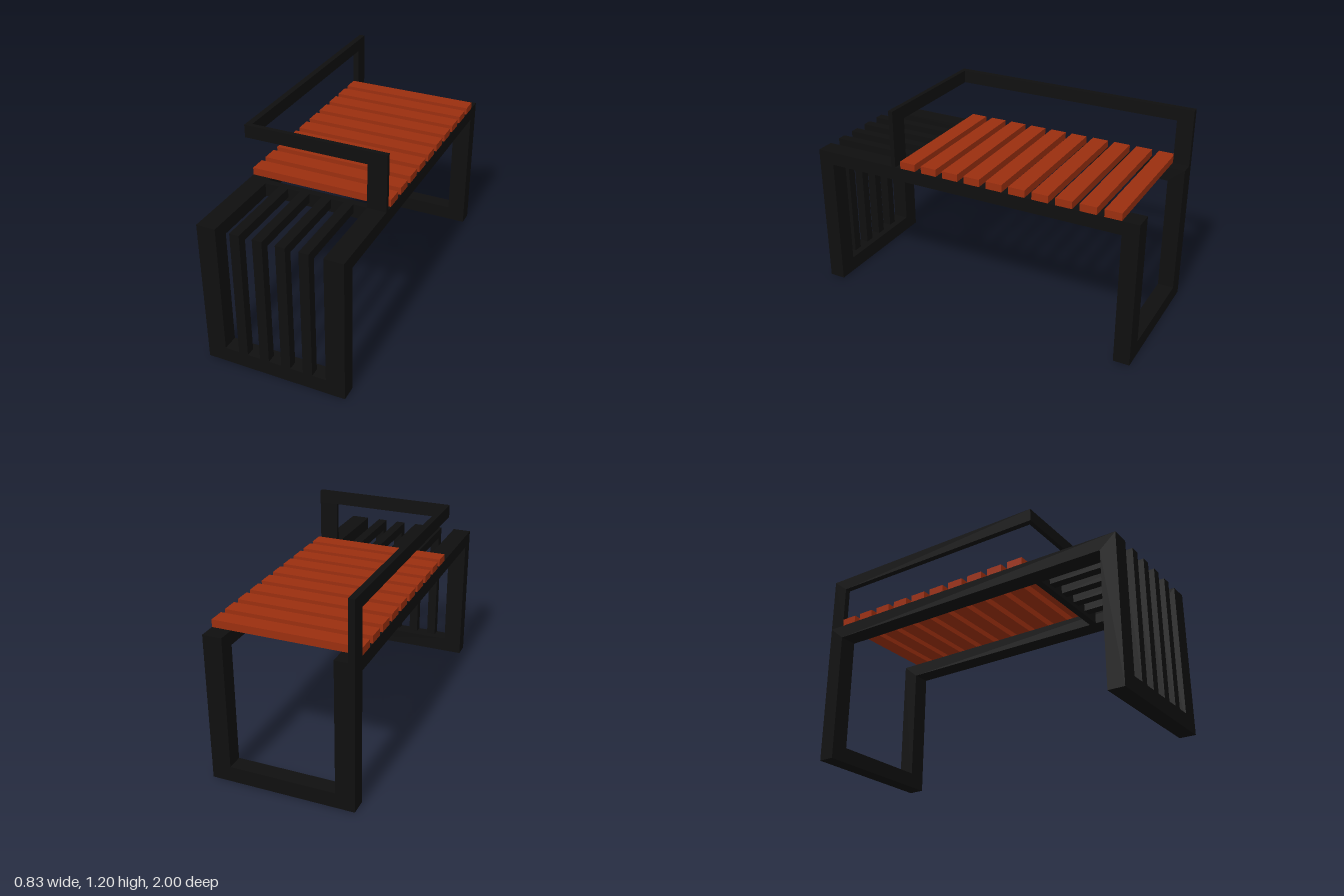
import * as THREE from 'three';

export function createModel() {
  const model = new THREE.Group();
  model.name = 'bench';
  const blackSteel = new THREE.MeshStandardMaterial({ color: 0x0f0f0f });
  blackSteel.name = 'black steel';
  const redWood = new THREE.MeshStandardMaterial({ color: 0x9a2e0f });
  redWood.name = 'red brown wood';

  const W = 0.415, SEAT = 0.86, TOP = 1.195, INNER = 0.305, LEG = 0.095;

  const add = (name, geometry, material) => {
    const mesh = new THREE.Mesh(geometry, material);
    mesh.name = name;
    model.add(mesh);
  };
  // Box given by its limits on each axis
  const box = (name, [x0, x1], [y0, y1], [z0, z1], material = blackSteel) => {
    const g = new THREE.BoxGeometry(x1 - x0, y1 - y0, z1 - z0);
    g.translate((x0 + x1) / 2, (y0 + y1) / 2, (z0 + z1) / 2);
    add(name, g, material);
  };
  // Outline in (z, y), extruded from x0 to x1
  const sidePlate = (name, points, x0, x1) => {
    const shape = new THREE.Shape(points.map(([z, y]) => new THREE.Vector2(z, y)));
    const g = new THREE.ExtrudeGeometry(shape, { depth: x1 - x0, bevelEnabled: false });
    g.rotateY(-Math.PI / 2).translate(x1, 0, 0);
    add(name, g, blackSteel);
  };

  // Side frames: two legs and a seat beam in one piece
  const zi = 1 - LEG, beam = 0.78;
  const frame = [[-1, 0], [-zi, 0], [-zi, beam], [zi, beam], [zi, 0], [1, 0], [1, SEAT], [-1, SEAT]];
  sidePlate('rightSideFrame', frame, -W, -INNER);
  sidePlate('leftSideFrame', frame, INNER, W);

  // Floor bars joining the legs, and the cross bar under the seat
  box('frontFloorBar', [-INNER, INNER], [0, 0.09], [zi, 1]);
  box('backFloorBar', [-INNER, INNER], [0, 0.09], [-1, -zi]);
  box('seatCrossBar', [-INNER, INNER], [beam, SEAT], [0.445, 0.485]);

  // Bent ribs from the cross bar over the front edge to the floor bar
  const t = 0.055;
  const rib = [[0.485, SEAT - t], [1 - t, SEAT - t], [1 - t, 0.09], [1, 0.09], [1, SEAT], [0.485, SEAT]];
  for (let i = 0; i < 4; i++) {
    const x = -0.22 + i * 0.13;
    sidePlate('frontRib', rib, x, x + t);
  }

  // Seat slats
  for (let i = 0; i < 10; i++) {
    const z = -0.903 + i * 0.137;
    box('seatSlat', [-W, W], [SEAT, 0.903], [z, z + 0.096], redWood);
  }

  // Arm rail: back post and long rail, returning across to a front post
  const rail = 1.12, z0 = 0.46, z1 = 0.487;
  sidePlate('armRail', [[-1, SEAT], [-zi, SEAT], [-zi, rail], [z1, rail], [z1, TOP], [-1, TOP]], -W, -0.38);
  box('armCrossRail', [-0.38, W], [rail, TOP], [z0, z1]);
  box('armFrontPost', [INNER, W], [SEAT, rail], [z0, z1]);

  return model;
}
